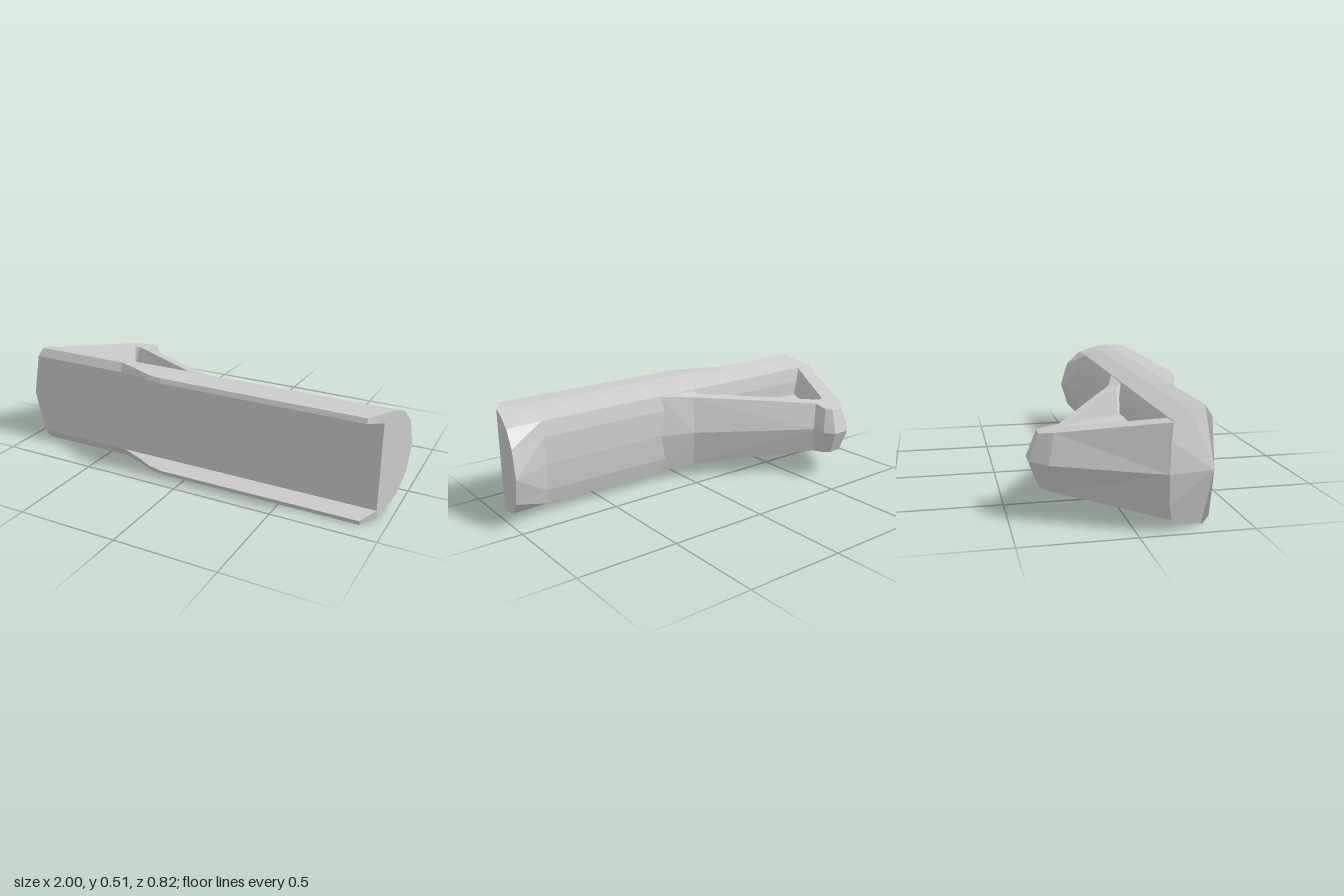
import * as THREE from 'three';

const MID = 0.257; // height of the horizontal mirror plane
const grey = new THREE.MeshStandardMaterial({ color: 0xcccccc, flatShading: true });

// Collects triangles of the upper half and mirrors each to the lower half.
// Points are [x, height above mid, z].
function mirroredBuilder() {
  const out = [];
  const put = (p, s) => out.push(p[0], MID + s * p[1], p[2]);
  const tri = (a, b, c) => {
    [a, b, c].forEach(p => put(p, 1));
    [a, c, b].forEach(p => put(p, -1));
  };
  const quad = (a, b, c, d) => { tri(a, b, c); tri(a, c, d); };
  const mesh = name => {
    const geo = new THREE.BufferGeometry();
    geo.setAttribute('position', new THREE.Float32BufferAttribute(out, 3));
    geo.computeVertexNormals();
    const m = new THREE.Mesh(geo, grey);
    m.name = name;
    return m;
  };
  return { tri, quad, mesh };
}

// Half section: face centre, face edge, lip tip, lip top, crown, shoulder, back edge, back, ridge
function section(xs, lipZ, lipH, lipTopZ, back = [0.145, 0.128, 0.12]) {
  const z = [0.32, 0.32, lipZ, lipTopZ, Math.min(0.305, lipTopZ - 0.005), 0.23, ...back];
  const h = [0, 0.213, lipH, 0.256, 0.255, 0.24, 0.208, 0.133, 0];
  return z.map((v, i) => [Array.isArray(xs) ? xs[i] : xs, h[i], v]);
}

function gripBody() {
  const b = mirroredBuilder();
  const rings = [
    section([-0.965, -0.92, -0.92, -0.9, -0.9, -0.93, -0.96, -0.982, -1], 0.319, 0.215, 0.3),
    section(-0.4, 0.319, 0.215, 0.3),
    section(-0.28, 0.36, 0.223, 0.348),
    section(-0.2, 0.395, 0.23, 0.385),
    section(-0.12, 0.408, 0.233, 0.4),
    section(0.8, 0.408, 0.233, 0.4),
    section([0.94, 0.94, 0.89, 0.89, 0.943, 0.958, 0.977, 0.992, 1], 0.408, 0.233, 0.4, [0.135, 0.06, 0.02]),
  ];
  for (let s = 0; s < rings.length - 1; s++) {
    const p = rings[s], q = rings[s + 1];
    for (let i = 0; i < p.length - 1; i++) b.quad(p[i], q[i], q[i + 1], p[i + 1]);
  }
  // End caps: the lip end plus a fan over the main section
  const cap = (r, flip) => {
    const t = (a, c, d) => (flip ? b.tri(a, d, c) : b.tri(a, c, d));
    t(r[1], r[3], r[2]);
    t(r[1], r[4], r[3]);
    const fan = [1, 4, 5, 6, 7, 8];
    for (let i = 0; i < fan.length - 1; i++) t(r[0], r[fan[i + 1]], r[fan[i]]);
  };
  cap(rings[0], true);
  cap(rings[rings.length - 1], false);
  return b.mesh('gripBody');
}

// Triangular hand stop with a recessed web on each side
function handStop() {
  const b = mirroredBuilder();
  // Around the outline: outer ridge (x,z), top edge (x,z,h), recess rim (x,z,h), web (x,z)
  const stations = [
    [[-0.999, 0.12], [-0.962, 0.145, 0.206], [-0.875, 0.15, 0.205], [-0.84, 0.16]],
    [[-0.78, -0.33], [-0.742, -0.305, 0.13], [-0.69, -0.218, 0.142], [-0.674, -0.188]],
    [[-0.7, -0.408], [-0.69, -0.363, 0.118], [-0.68, -0.23, 0.14], [-0.667, -0.198]],
    [[-0.61, -0.408], [-0.625, -0.363, 0.118], [-0.665, -0.234, 0.14], [-0.662, -0.2]],
    [[-0.57, -0.36], [-0.6, -0.335, 0.121], [-0.655, -0.235, 0.14], [-0.656, -0.2]],
    [[-0.575, -0.285], [-0.603, -0.262, 0.134], [-0.645, -0.23, 0.14], [-0.645, -0.193]],
    [[-0.03, 0.06], [-0.05, 0.09, 0.185], [-0.1, 0.12, 0.19], [-0.16, 0.11]],
    [[0.14, 0.12], [0.13, 0.146, 0.206], [-0.09, 0.15, 0.205], [-0.14, 0.16]],
  ];
  const level = [0, 0, 0, 0.06];
  const rows = level.map((h, k) => stations.map(s => [s[k][0], s[k][2] ?? h, s[k][1]]));
  for (let k = 0; k < 3; k++) {
    const p = rows[k], q = rows[k + 1];
    for (let i = 0; i < p.length - 1; i++) b.quad(p[i], q[i], q[i + 1], p[i + 1]);
  }
  const web = rows[3];
  for (let i = 1; i < web.length - 1; i++) b.tri(web[0], web[i + 1], web[i]);
  return b.mesh('handStop');
}

export function createModel() {
  const group = new THREE.Group();
  group.name = 'angledGrip';
  group.add(gripBody(), handStop());
  return group;
}
